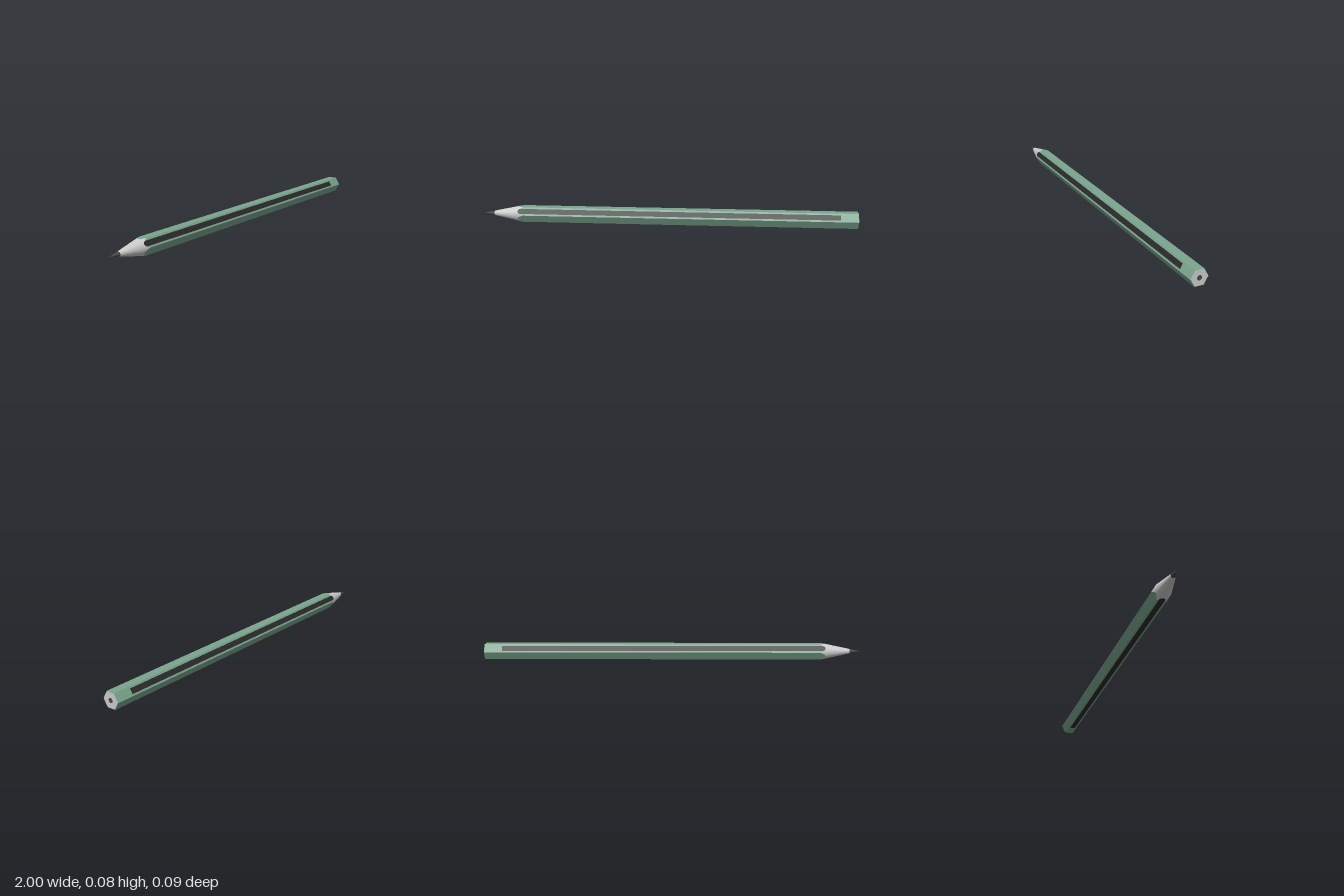
import * as THREE from 'three';

const APOTHEM = 0.0405;                  // axis to flat of the hexagon
const SIDE = APOTHEM * 2 / Math.sqrt(3); // width of one flat
const SLOPE = 0.212;                     // sharpened cone: radius per unit of length
const LEAD = 0.0125;
const CHAMFER = 0.002;
const BODY_END = 1 - CHAMFER;
const STRIPE_END = 0.905;
const STRIPE_HALF = 0.3;                 // half stripe width, as a fraction of a flat

const material = (color) => new THREE.MeshStandardMaterial({ color });
const paint = material(0x7ba58e);
const stripePaint = material(0x2b2b2b);
const wood = material(0xcccccc);
const graphite = material(0x484848);

// Surface from a rule: u runs around the pencil, v along it
function surface(nu, nv, rule) {
  const positions = [], index = [];
  for (let j = 0; j <= nv; j++)
    for (let i = 0; i <= nu; i++) positions.push(...rule(i / nu, j / nv));
  for (let j = 0; j < nv; j++)
    for (let i = 0; i < nu; i++) {
      const a = i + j * (nu + 1), b = a + nu + 1;
      index.push(a, a + 1, b, a + 1, b + 1, b);
    }
  const geometry = new THREE.BufferGeometry();
  geometry.setAttribute('position', new THREE.Float32BufferAttribute(positions, 3));
  geometry.setIndex(index);
  geometry.computeVertexNormals();
  return geometry;
}

// Point on flat k of the hexagon, s from -0.5 to 0.5 across it
function onFlat(k, s, x, scale = 1) {
  const t = k * Math.PI / 3, a = APOTHEM * scale, w = s * SIDE * scale;
  return [x, a * Math.cos(t) - w * Math.sin(t), a * Math.sin(t) + w * Math.cos(t)];
}

// Where the sharpened cone cuts a flat
const scallop = (s) => -1 + Math.hypot(APOTHEM, s * SIDE) / SLOPE;

// Piece of a flat between s0 and s1, from start(s) to the end position
const panel = (k, s0, s1, start, end) => surface(12, 1, (u, v) => {
  const s = s0 + (s1 - s0) * u;
  return onFlat(k, s, THREE.MathUtils.lerp(start(s), end, v));
});

export function createModel() {
  const model = new THREE.Group();
  model.name = 'pencil';
  const add = (name, geometry, mat) => {
    const mesh = new THREE.Mesh(geometry, mat);
    mesh.name = name;
    mesh.position.y = APOTHEM;
    model.add(mesh);
  };

  // Six painted flats, every other one with a dark stripe
  for (let k = 0; k < 6; k++) {
    if (k % 2) {
      const h = STRIPE_HALF;
      add('paintedEdge', panel(k, -0.5, -h, scallop, BODY_END), paint);
      add('paintedEdge', panel(k, h, 0.5, scallop, BODY_END), paint);
      add('stripe', panel(k, -h, h, scallop, STRIPE_END), stripePaint);
      add('paintedEnd', panel(k, -h, h, () => STRIPE_END, BODY_END), paint);
    } else {
      add('paintedFlat', panel(k, -0.5, 0.5, scallop, BODY_END), paint);
    }
    // Small chamfer around the blunt end
    add('endChamfer', surface(1, 1, (u, v) =>
      onFlat(k, u - 0.5, BODY_END + CHAMFER * v, 1 - v * CHAMFER / APOTHEM)), paint);
  }

  // Sharpened wood, scalloped where it meets the flats
  add('sharpenedWood', surface(96, 4, (u, v) => {
    const t = u * Math.PI * 2;
    const local = t - Math.round(t / (Math.PI / 3)) * Math.PI / 3;
    const r = THREE.MathUtils.lerp(LEAD, APOTHEM / Math.cos(local), v);
    return [-1 + r / SLOPE, r * Math.cos(t), r * Math.sin(t)];
  }), wood);

  // Graphite point
  const length = LEAD / SLOPE;
  const point = new THREE.ConeGeometry(LEAD, length, 48, 1, true);
  point.rotateZ(Math.PI / 2).translate(-1 + length / 2, 0, 0);
  add('leadPoint', point, graphite);

  // Blunt end: wood face around the lead core
  const face = new THREE.Shape();
  const radius = SIDE * (1 - CHAMFER / APOTHEM);
  for (let k = 0; k < 6; k++) {
    const t = k * Math.PI / 3;
    face[k ? 'lineTo' : 'moveTo'](radius * Math.cos(t), radius * Math.sin(t));
  }
  face.closePath();
  face.holes.push(new THREE.Path().absarc(0, 0, LEAD, 0, Math.PI * 2, true));
  add('endWood', new THREE.ShapeGeometry(face, 24).rotateY(Math.PI / 2).translate(1, 0, 0), wood);
  add('endLead', new THREE.CircleGeometry(LEAD, 48).rotateY(Math.PI / 2).translate(1, 0, 0), graphite);

  return model;
}
